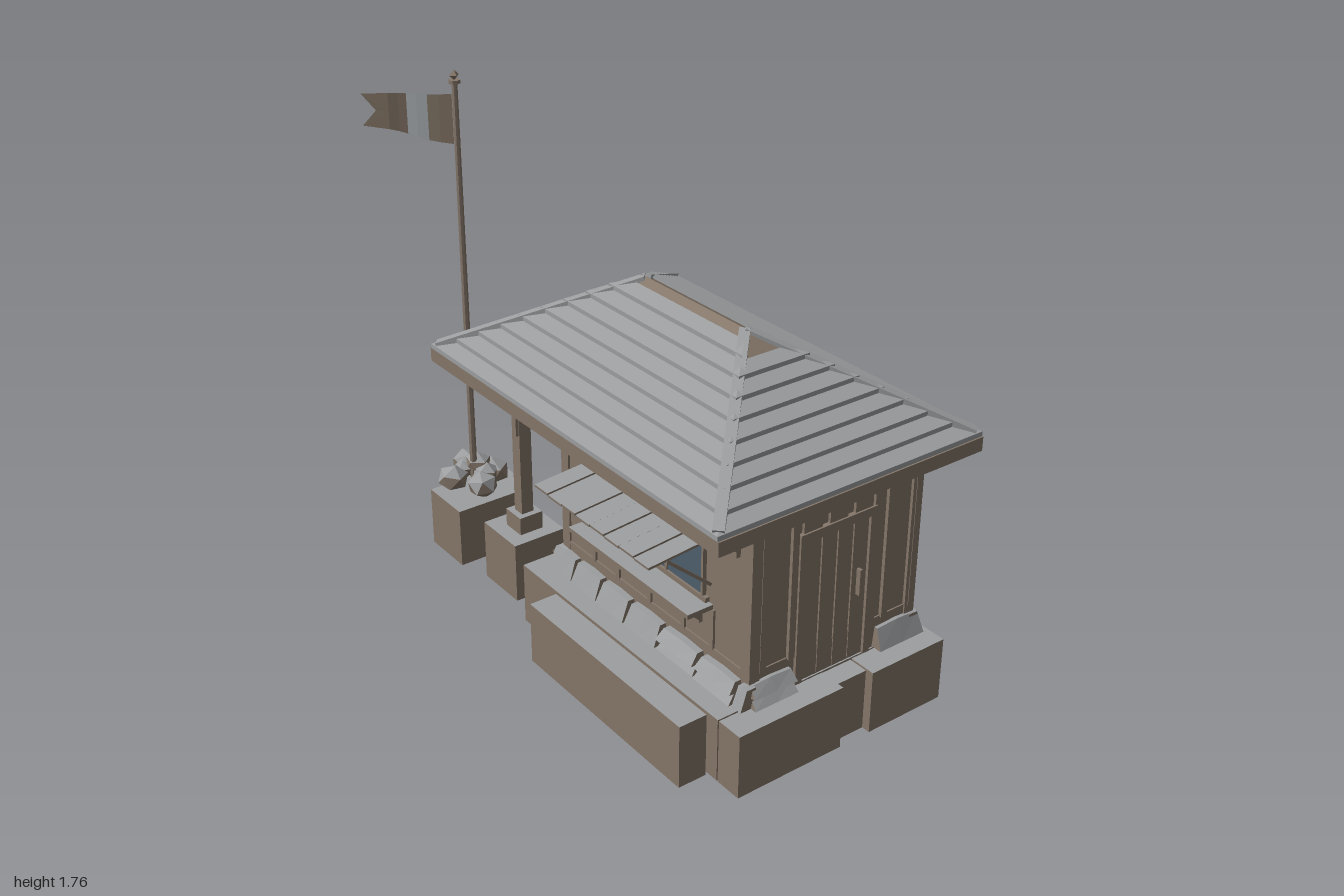
import * as THREE from 'three';

const material = (name, color, side = THREE.FrontSide) => {
  const m = new THREE.MeshStandardMaterial({ color, side });
  m.name = name;
  return m;
};

export function createModel() {
  const root = new THREE.Group();
  root.name = 'kiosk';
  const wood = material('brown wood', 0x85776a);
  const gray = material('weathered gray', 0x9c9ea0);
  const glass = material('window glass', 0x4d5f6b);
  const clothBrown = material('flag brown', 0x7c6f60, THREE.DoubleSide);
  const clothDark = material('flag dark brown', 0x6a5e52, THREE.DoubleSide);
  const clothGray = material('flag gray', 0x94999c, THREE.DoubleSide);
  const topped = [wood, wood, gray, wood, wood, wood]; // gray upper face

  let seed = 7;
  const rand = () => (seed = (seed * 16807) % 2147483647) / 2147483647;
  const add = (name, geo, mat) => {
    const mesh = new THREE.Mesh(geo, mat);
    mesh.name = name;
    root.add(mesh);
    return mesh;
  };
  const box = (name, mat, x0, x1, y0, y1, z0, z1) => {
    const m = add(name, new THREE.BoxGeometry(x1 - x0, y1 - y0, z1 - z0), mat);
    m.position.set((x0 + x1) / 2, (y0 + y1) / 2, (z0 + z1) / 2);
    return m;
  };
  // Straight bar between two points; w across, h in thickness
  const bar = (name, mat, a, b, w, h) => {
    const p = new THREE.Vector3(...a), q = new THREE.Vector3(...b);
    const m = add(name, new THREE.BoxGeometry(w, h, p.distanceTo(q)), mat);
    m.position.copy(p).add(q).multiplyScalar(0.5);
    m.lookAt(q);
    return m;
  };
  // Faceted stone: upward facets gray, the others brown
  const stone = (name, source) => {
    const geo = source.index ? source.toNonIndexed() : source;
    geo.clearGroups();
    geo.computeVertexNormals();
    const n = geo.attributes.normal;
    for (let i = 0; i < n.count; i += 3) geo.addGroup(i, 3, n.getY(i) > 0.3 ? 1 : 0);
    return add(name, geo, [wood, gray]);
  };
  const quads = (list) => {
    const pos = [];
    for (const [a, b, c, d] of list) pos.push(...a, ...b, ...c, ...a, ...c, ...d);
    const geo = new THREE.BufferGeometry();
    geo.setAttribute('position', new THREE.Float32BufferAttribute(pos, 3));
    geo.computeVertexNormals();
    return geo;
  };

  // Foundation blocks
  box('mainFoundation', topped, -0.16, 0.88, 0, 0.22, -0.43, 0.39);
  box('frontFoundation', topped, 0.05, 0.84, 0, 0.22, 0.4, 0.5);
  box('sideFoundationFront', topped, 0.885, 0.98, 0, 0.22, -0.01, 0.39);
  box('sideFoundationBack', topped, 0.885, 0.98, 0, 0.22, -0.43, -0.13);
  box('doorStep', topped, 0.88, 0.95, 0, 0.213, -0.13, -0.01);
  box('flagBase', topped, -0.89, -0.585, 0, 0.22, 0.08, 0.28);
  box('flagBaseFront', topped, -0.785, -0.585, 0, 0.22, 0.28, 0.385);

  // Porch posts on footings, tied by beams
  for (const z of [0.25, -0.345]) {
    box('postFooting', topped, -0.475, -0.275, 0, 0.22, z - 0.1, z + 0.1);
    box('postPlinth', topped, -0.415, -0.325, 0.22, 0.285, z - 0.045, z + 0.045);
    box('porchPost', wood, -0.393, -0.347, 0.285, 0.8, z - 0.023, z + 0.023);
    box('porchBeam', wood, -0.395, -0.09, 0.79, 0.875, z - 0.025, z + 0.025);
  }
  box('porchEndBeam', wood, -0.395, -0.345, 0.79, 0.875, -0.345, 0.25);

  // Cabin with corner posts, rails and battens
  box('cabinWalls', wood, -0.08, 0.87, 0.22, 0.875, -0.38, 0.268);
  for (const x of [-0.09, 0.84]) for (const z of [-0.39, 0.235])
    box('cornerPost', wood, x, x + 0.04, 0.22, 0.875, z, z + 0.04);
  for (const [y0, y1] of [[0.22, 0.325], [0.79, 0.875]]) {
    box('longRail', wood, -0.085, 0.875, y0, y1, -0.386, 0.274);
  }
  for (let i = 1; i < 10; i++) {
    const x = -0.07 + i * 0.093;
    box('backBatten', wood, x - 0.01, x + 0.01, 0.32, 0.8, -0.392, -0.37);
  }
  for (let i = 1; i < 7; i++) {
    const z = -0.37 + i * 0.09;
    box('leftBatten', wood, -0.092, -0.07, 0.32, 0.8, z - 0.01, z + 0.01);
  }
  for (const x of [0.09, 0.22, 0.39, 0.56, 0.7])
    box('frontBatten', wood, x - 0.009, x + 0.009, 0.32, 0.46, 0.262, 0.276);
  for (const z of [0.225, 0.115, -0.205, -0.26, -0.375])
    box('sideBatten', wood, 0.86, 0.882, 0.32, 0.8, z - 0.012, z + 0.012);
  box('frontFasciaPanel', wood, 0.15, 0.64, 0.8, 0.86, 0.27, 0.28);

  // Plank door with frame, transom blocks and handle
  for (const z of [0.0875, -0.1875])
    box('doorJamb', wood, 0.865, 0.886, 0.22, 0.74, z - 0.0125, z + 0.0125);
  box('doorHead', wood, 0.865, 0.886, 0.71, 0.74, -0.2, 0.1);
  for (let i = 0; i < 4; i++) {
    const z = -0.173 + i * 0.0625;
    box('doorPlank', wood, 0.865, 0.878, 0.225, 0.708, z, z + 0.057);
  }
  for (const z of [0.05, -0.05, -0.15])
    box('transomBlock', wood, 0.865, 0.88, 0.74, 0.79, z - 0.035, z + 0.035);
  box('doorHandle', wood, 0.878, 0.895, 0.45, 0.54, -0.145, -0.135);

  // Serving window: three panes, frame, shelf and awning
  for (let i = 0; i < 3; i++) {
    const x = 0.133 + i * 0.177;
    box('windowPane', glass, x, x + 0.168, 0.492, 0.68, 0.268, 0.276);
  }
  for (let i = 0; i < 4; i++) {
    const x = 0.1285 + i * 0.177;
    box('windowMullion', wood, x - 0.0045, x + 0.0045, 0.485, 0.69, 0.268, 0.282);
  }
  box('windowHead', wood, 0.11, 0.68, 0.68, 0.7, 0.268, 0.284);
  box('windowSill', wood, 0.11, 0.68, 0.475, 0.492, 0.268, 0.284);
  box('servingShelf', topped, 0.08, 0.7, 0.46, 0.476, 0.27, 0.365);
  for (const x of [0.14, 0.39, 0.645]) {
    box('shelfBracket', wood, x - 0.006, x + 0.006, 0.39, 0.46, 0.27, 0.284);
    bar('shelfStrut', wood, [x, 0.4, 0.275], [x, 0.46, 0.34], 0.012, 0.012);
  }
  for (let i = 0; i < 8; i++) {
    const x = 0.136 + i * 0.074;
    bar('awningPlank', topped, [x, 0.702 - (i % 2) * 0.003, 0.27], [x, 0.683 - (i % 2) * 0.003, 0.5], 0.07, 0.008);
  }
  box('awningBatten', wood, 0.11, 0.69, 0.67, 0.682, 0.42, 0.435);
  for (const x of [0.125, 0.685]) bar('awningStrut', wood, [x, 0.54, 0.27], [x, 0.678, 0.43], 0.01, 0.01);

  // Eave brackets
  for (const x of [-0.02, 0.81]) {
    bar('eaveStrut', wood, [x, 0.72, 0.272], [x, 0.875, 0.44], 0.014, 0.016);
    box('eaveBracketPlate', wood, x - 0.007, x + 0.007, 0.7, 0.87, 0.268, 0.284);
  }
  box('eaveHook', wood, -0.026, -0.014, 0.8, 0.88, 0.48, 0.49);

  // Rough stone course around the cabin, with the doorway left open
  const course = (axis, from, to, fixed, out) => {
    let p = from;
    while (p < to - 0.03) {
      const len = Math.min(0.13 + rand() * 0.07, to - p);
      const split = rand() < 0.45;
      for (let k = 0; k < (split ? 2 : 1); k++) {
        const h = split ? 0.034 : 0.068, depth = 0.055 + rand() * 0.025;
        const geo = new THREE.BoxGeometry(len - 0.006, h, depth, 2, 1, 1);
        const v = geo.attributes.position;
        for (let i = 0; i < v.count; i++) {
          const up = v.getY(i) > 0;
          if (v.getZ(i) > 0) v.setZ(i, depth * (up ? 0.1 : 0.5));
          if (up) v.setX(i, v.getX(i) * 0.92);
          if (Math.abs(v.getX(i)) < 0.01 && up) v.setY(i, v.getY(i) + 0.004);
        }
        if (axis === 'x') geo.rotateY(out > 0 ? 0 : Math.PI);
        else geo.rotateY(out * Math.PI / 2);
        const m = stone('baseStone', geo);
        const y = 0.222 + h / 2 + k * 0.036, c = p + len / 2;
        if (axis === 'x') m.position.set(c, y, fixed);
        else m.position.set(fixed, y, c);
      }
      p += len;
    }
  };
  course('x', -0.11, 0.9, 0.29, 1);
  course('x', -0.11, 0.9, -0.39, -1);
  course('z', -0.41, 0.3, -0.09, -1);
  course('z', 0.11, 0.3, 0.88, 1);
  course('z', -0.41, -0.2, 0.88, 1);

  // Hipped roof: eave slab, brown core, overlapping gray rows
  box('eaveSlab', wood, -0.51, 1, 0.875, 0.922, -0.5, 0.5);
  const ring = (t, lift) => {
    const x0 = -0.505 + 0.5 * t, x1 = 0.995 - 0.5 * t, z = 0.5 * (1 - t), y = 0.92 + 0.302 * t + lift;
    return [[x0, y, z], [x1, y, z], [x1, y, -z], [x0, y, -z]];
  };
  const sides = [0, 1, 2, 3];
  const face = (lo, hi, k) => [lo[k], lo[(k + 1) % 4], hi[(k + 1) % 4], hi[k]];
  add('roofCore', quads(sides.map((k) => face(ring(0, 0), ring(1, 0), k))), wood);
  const rows = 9, step = 0.94 / rows, shingles = [];
  for (let i = 0; i < rows; i++) for (const k of sides) {
    if (i === rows - 1 && k % 2) continue; // bare gablet at the ridge ends
    const base = ring(i * step, 0), low = ring(i * step, 0.018), high = ring((i + 1) * step, 0.003);
    shingles.push(face(base, low, k), face(low, high, k));
  }
  add('roofRows', quads(shingles), gray);
  for (const s of [-1, 1]) {
    bar('hipCap', gray, [-0.49, 0.937, 0.485 * s], [0, 1.217, 0], 0.034, 0.022);
    bar('hipCap', gray, [0.98, 0.937, 0.485 * s], [0.49, 1.217, 0], 0.034, 0.022);
  }

  // Stone pile around the flagpole
  const pile = [[-0.82, 0.26, 0.21, 0.06], [-0.71, 0.26, 0.165, 0.06], [-0.75, 0.26, 0.31, 0.058],
    [-0.645, 0.26, 0.25, 0.058], [-0.73, 0.3, 0.215, 0.05], [-0.69, 0.275, 0.21, 0.05], [-0.76, 0.28, 0.25, 0.04]];
  for (const [x, y, z, r] of pile) {
    const geo = new THREE.IcosahedronGeometry(r, 0);
    geo.rotateX(rand() * 3).rotateY(rand() * 3).scale(1, 0.85, 1);
    stone('pileStone', geo).position.set(x, y, z);
  }

  // Flagpole and finial
  const pole = (name, rTop, rBottom, y0, y1) => {
    const geo = new THREE.CylinderGeometry(rTop, rBottom, y1 - y0, 8).toNonIndexed();
    geo.computeVertexNormals();
    add(name, geo, wood).position.set(-0.72, (y0 + y1) / 2, 0.24);
  };
  pole('flagpole', 0.01, 0.013, 0.2, 1.73);
  pole('poleCap', 0.02, 0.02, 1.718, 1.73);
  add('finial', new THREE.OctahedronGeometry(0.018), wood).position.set(-0.72, 1.745, 0.24);

  // Swallowtail flag, flying diagonally with a slight ripple
  const at = (t, y) => [-0.73 - 0.27 * t, y, 0.247 + 0.183 * t + 0.012 * Math.sin(t * 7)];
  const edge = (t, s) => at(t, 1.595 + s * (0.085 - 0.03 * t));
  const stripes = [[0, 0.24, clothBrown], [0.24, 0.53, clothGray], [0.53, 0.75, clothDark]];
  for (const [a, b, mat] of stripes) {
    const m = (a + b) / 2;
    add('flagStripe', quads([[a, m], [m, b]].map(([p, q]) => [edge(p, -1), edge(q, -1), edge(q, 1), edge(p, 1)])), mat);
  }
  add('flagTail', quads([-1, 1].map((s) => [edge(0.75, 0), edge(0.75, s), edge(1, s), at(0.87, 1.595)])), clothBrown);
  return root;
}
